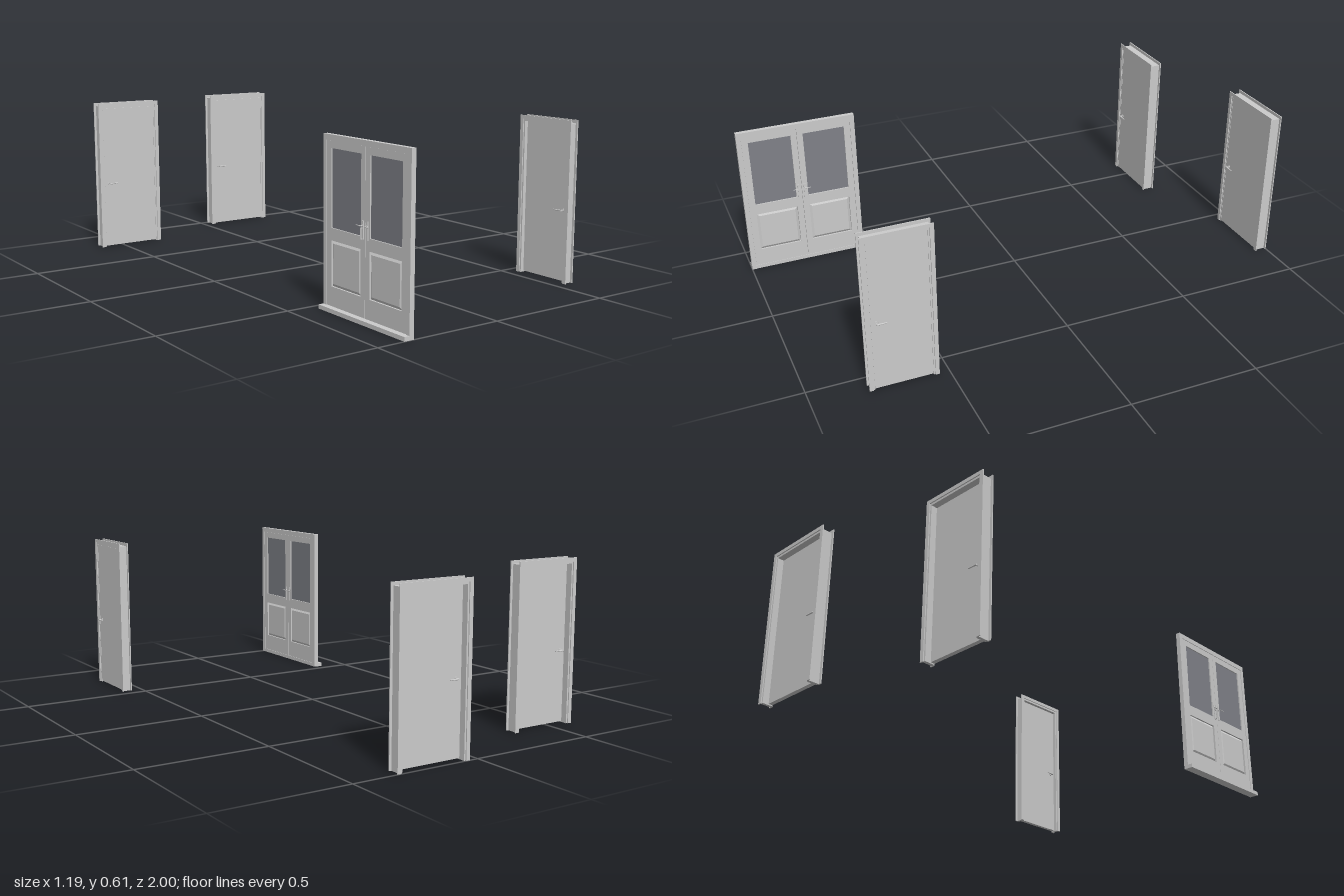
import * as THREE from 'three';

const grey = new THREE.MeshStandardMaterial({ color: 0xcccccc });
const glass = new THREE.MeshStandardMaterial({ color: 0x7f8188 });

function add(parent, name, geo, x = 0, y = 0, z = 0, mat = grey) {
  const m = new THREE.Mesh(geo, mat);
  m.name = name;
  m.position.set(x, y, z);
  parent.add(m);
  return m;
}

// box given by its limits
function block(parent, name, x0, x1, y0, y1, z0, z1, mat) {
  return add(parent, name, new THREE.BoxGeometry(x1 - x0, y1 - y0, z1 - z0),
    (x0 + x1) / 2, (y0 + y1) / 2, (z0 + z1) / 2, mat);
}

const rectPoints = (x0, x1, y0, y1) =>
  [[x0, y0], [x1, y0], [x1, y1], [x0, y1]].map(([x, y]) => new THREE.Vector2(x, y));

function extrude(shape, depth) {
  return new THREE.ExtrudeGeometry(shape, { depth, bevelEnabled: false });
}

// three-sided surround, open at the floor
function surround(halfW, top, innerHalfW, innerTop, depth) {
  const pts = [[-halfW, 0], [-innerHalfW, 0], [-innerHalfW, innerTop], [innerHalfW, innerTop],
    [innerHalfW, 0], [halfW, 0], [halfW, top], [-halfW, top]];
  return extrude(new THREE.Shape(pts.map(([x, y]) => new THREE.Vector2(x, y))), depth);
}

// lever handle on a face at z, side = 1 for front and -1 for back
function leverHandle(parent, x, y, z, side, dir, length, reach, r) {
  const g = new THREE.Group();
  g.name = 'leverHandle';
  const rose = add(g, 'rosette', new THREE.CylinderGeometry(r, r, 0.003, 20), 0, 0, side * 0.0015);
  const neck = add(g, 'spindle', new THREE.CylinderGeometry(r * 0.4, r * 0.4, reach, 12), 0, 0, side * reach / 2);
  rose.rotation.x = neck.rotation.x = Math.PI / 2;
  const lever = add(g, 'lever', new THREE.CylinderGeometry(r * 0.3, r * 0.45, length, 12),
    dir * (length / 2 - r * 0.4), 0, side * (reach - r * 0.4));
  lever.rotation.z = -dir * Math.PI / 2;
  g.position.set(x, y, z);
  parent.add(g);
}

// single door: lining, casing on both faces, leaf near the front, lever handles
function singleDoor(w, h, d) {
  const g = new THREE.Group();
  g.name = 'singleDoor';
  const hw = w / 2, t = 0.004;
  for (const [name, z] of [['frontCasing', d / 2 - t], ['backCasing', -d / 2]])
    add(g, name, surround(hw, h, hw - 0.015, h - 0.014, t), 0, 0, z);
  add(g, 'lining', surround(hw - 0.009, h - 0.012, hw - 0.021, h - 0.022, d - 2 * t), 0, 0, -d / 2 + t);
  const front = d / 2 - t - 0.001, back = front - 0.016;
  block(g, 'leaf', -hw + 0.0215, hw - 0.0215, 0.004, h - 0.0225, back, front);
  leverHandle(g, -hw + 0.041, 0.273, front, 1, 1, 0.037, 0.015, 0.007);
  leverHandle(g, -hw + 0.041, 0.273, back, -1, 1, 0.037, 0.015, 0.007);
  return g;
}

// raised field with sloped edges, flat back at z = 0
function raisedField(w, h, depth, slope) {
  const geo = new THREE.BoxGeometry(w, h, depth).toNonIndexed();
  const p = geo.attributes.position;
  for (let i = 0; i < p.count; i++) {
    if (p.getZ(i) > 0) {
      p.setX(i, p.getX(i) - Math.sign(p.getX(i)) * slope);
      p.setY(i, p.getY(i) - Math.sign(p.getY(i)) * slope);
    }
  }
  geo.translate(0, 0, depth / 2);
  geo.computeVertexNormals();
  return geo;
}

// half-glazed double door with sill
function doubleDoor() {
  const g = new THREE.Group();
  g.name = 'doubleDoor';
  const hw = 0.2325, h = 0.606, d = 0.018;
  add(g, 'frame', surround(hw, h, hw - 0.018, h - 0.02, d), 0, 0, -d / 2);
  block(g, 'sill', -hw, hw, 0, 0.015, -0.029, d / 2 - 0.001);

  const z = 0.007;
  for (const s of [-1, 1]) {
    const leaf = new THREE.Group();
    leaf.name = s < 0 ? 'rightLeaf' : 'leftLeaf';
    g.add(leaf);
    // stiles and rails around the pane and the lower panel
    const span = (a, b) => s > 0 ? [a, b] : [-b, -a];
    const [x0, x1] = span(0.0006, hw - 0.0185);
    const [p0, p1] = span(0.024, 0.189);
    const shape = new THREE.Shape(rectPoints(x0, x1, 0.0155, h - 0.0205));
    shape.holes.push(new THREE.Path(rectPoints(p0, p1, 0.288, 0.56)),
      new THREE.Path(rectPoints(p0, p1, 0.085, 0.245)));
    add(leaf, 'stilesAndRails', extrude(shape, 2 * z), 0, 0, -z);
    block(leaf, 'pane', p0, p1, 0.288, 0.56, -0.002, 0.002, glass);
    for (const side of [1, -1]) {
      const field = add(leaf, 'raisedPanel', raisedField(p1 - p0, 0.16, 0.006, 0.01), (p0 + p1) / 2, 0.165, 0);
      if (side < 0) field.rotation.y = Math.PI;
      // back plate and lever
      const zf = side * z;
      block(leaf, 'handlePlate', s * 0.012 - 0.004, s * 0.012 + 0.004, 0.28, 0.343,
        Math.min(zf, zf + side * 0.003), Math.max(zf, zf + side * 0.003));
      leverHandle(leaf, s * 0.012, 0.326, zf + side * 0.002, side, s, 0.025, side > 0 ? 0.008 : 0.012, 0.004);
    }
  }

  // vertical pull on the sill side
  block(g, 'pullBar', 0.0105, 0.0135, 0.28, 0.32, -0.018, -0.015);
  for (const y of [0.28, 0.317]) block(g, 'pullPost', 0.0105, 0.0135, y, y + 0.003, -0.0175, -0.009);
  return g;
}

export function createModel() {
  const model = new THREE.Group();
  model.name = 'doorSet';
  const place = (door, name, x, z, turn = 0) => {
    door.name = name;
    door.position.set(x, 0, z);
    door.rotation.y = turn;
    model.add(door);
  };
  place(singleDoor(0.276, 0.614, 0.049), 'rightRearDoor', -0.461, -0.806);
  place(singleDoor(0.295, 0.604, 0.049), 'leftRearDoor', 0.181, -0.9755);
  place(singleDoor(0.256, 0.613, 0.039), 'leftFrontDoor', 0.5645, 0.666, Math.PI / 2);
  place(doubleDoor(), 'rightFrontDoubleDoor', -0.366, 0.7675, Math.PI / 2);
  return model;
}
